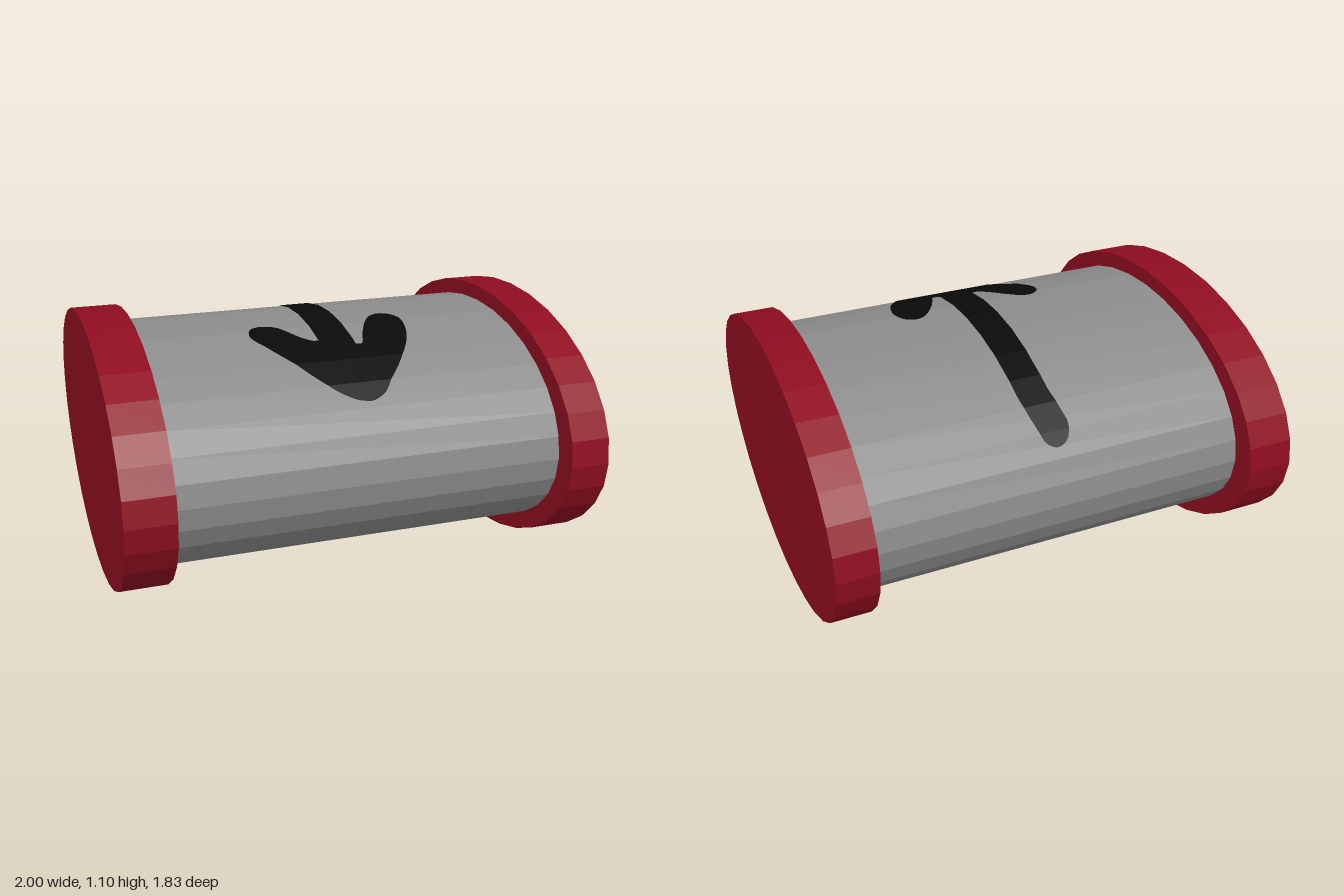
import * as THREE from 'three';

const SIDES = 32, CY = 0.552;

// Oval cylinder lying along x, from x0 to x1
function ovalDrum(name, x0, x1, ry, rz, material) {
  const g = new THREE.CylinderGeometry(1, 1, x1 - x0, SIDES);
  g.rotateZ(Math.PI / 2);
  g.scale(1, ry, rz);
  g.translate((x0 + x1) / 2, CY, 0);
  const mesh = new THREE.Mesh(g, material);
  mesh.name = name;
  return mesh;
}

// Smooth outline through [x, z] points
function outline(points) {
  const curve = new THREE.CatmullRomCurve3(points.map(([x, z]) => new THREE.Vector3(x, z, 0)), false, 'centripetal');
  return curve.getPoints(points.length * 4).map(p => new THREE.Vector2(p.x, p.y));
}

// Keep the part of a polygon where side * (z - limit) >= 0
function clip(poly, limit, side) {
  const out = [];
  poly.forEach((a, i) => {
    const b = poly[(i + 1) % poly.length];
    const da = side * (a.y - limit), db = side * (b.y - limit);
    if (da >= 0) out.push(a.clone());
    if (da * db < 0) out.push(a.clone().lerp(b, da / (da - db)));
  });
  return out;
}

// Lay flat polygons on the facets of the upper half of an oval drum
function wrapOnDrum(polygons, ry, rz) {
  const pos = [];
  for (let i = -SIDES / 4; i < SIDES / 4; i++) {
    const a0 = i * 2 * Math.PI / SIDES, a1 = (i + 1) * 2 * Math.PI / SIDES;
    const z0 = rz * Math.sin(a0), z1 = rz * Math.sin(a1);
    const y0 = CY + ry * Math.cos(a0), y1 = CY + ry * Math.cos(a1);
    for (const polygon of polygons) {
      const part = clip(clip(polygon, z0, 1), z1, -1);
      if (part.length < 3) continue;
      for (const [a, b, c] of THREE.ShapeUtils.triangulateShape(part, [])) {
        const A = part[a], B = part[b], C = part[c];
        const area = (B.x - A.x) * (C.y - A.y) - (B.y - A.y) * (C.x - A.x);
        for (const p of area < 0 ? [A, B, C] : [A, C, B]) {
          pos.push(p.x, y0 + (y1 - y0) * (p.y - z0) / (z1 - z0), p.y);
        }
      }
    }
  }
  const g = new THREE.BufferGeometry();
  g.setAttribute('position', new THREE.Float32BufferAttribute(pos, 3));
  g.computeVertexNormals();
  return g;
}

export function createModel() {
  const grey = new THREE.MeshStandardMaterial({ color: 0x8c8c8c });
  const red = new THREE.MeshStandardMaterial({ color: 0x8f0d20 });
  const black = new THREE.MeshStandardMaterial({ color: 0x0a0a0a });
  grey.name = 'grey';
  red.name = 'darkRed';
  black.name = 'black';
  grey.flatShading = red.flatShading = true;

  const model = new THREE.Group();
  model.name = 'ovalRoller';

  // Body and end caps
  const bodyRy = 0.486, bodyRz = 0.81;
  model.add(ovalDrum('body', -0.81, 0.84, bodyRy, bodyRz, grey));
  model.add(ovalDrum('rightCap', -1, -0.8, 0.552, 0.917, red));
  model.add(ovalDrum('leftCap', 0.83, 1, 0.552, 0.917, red));

  // Hand-painted arrow: shaft and two barbs, as [x, z]
  const shaft = outline([
    [-0.055, 0.36], [-0.055, 0.29], [-0.045, -0.13], [-0.04, -0.51], [-0.055, -0.6], [-0.065, -0.66],
    [-0.04, -0.705], [0.01, -0.72], [0.055, -0.7], [0.075, -0.645], [0.095, -0.56], [0.1, -0.48],
    [0.1, -0.13], [0.093, 0.34], [0.093, 0.38],
  ]);
  const rightBarb = outline([
    [0.03, 0.305], [-0.055, 0.305], [-0.08, 0.303], [-0.12, 0.265], [-0.175, 0.18], [-0.215, 0.138],
    [-0.265, 0.125], [-0.31, 0.15], [-0.33, 0.215], [-0.31, 0.28], [-0.24, 0.395], [-0.16, 0.51],
    [-0.09, 0.59], [-0.01, 0.64], [0.03, 0.65],
  ]);
  const leftBarb = outline([
    [0.03, 0.352], [0.095, 0.352], [0.12, 0.352], [0.15, 0.28], [0.2, 0.175], [0.25, 0.105],
    [0.295, 0.082], [0.34, 0.1], [0.367, 0.16], [0.363, 0.23], [0.325, 0.35], [0.245, 0.48],
    [0.165, 0.575], [0.12, 0.625], [0.055, 0.652], [0.03, 0.65],
  ]);
  const arrow = new THREE.Mesh(wrapOnDrum([shaft, rightBarb, leftBarb], bodyRy + 0.004, bodyRz + 0.004), black);
  arrow.name = 'paintedArrow';
  model.add(arrow);

  return model;
}
